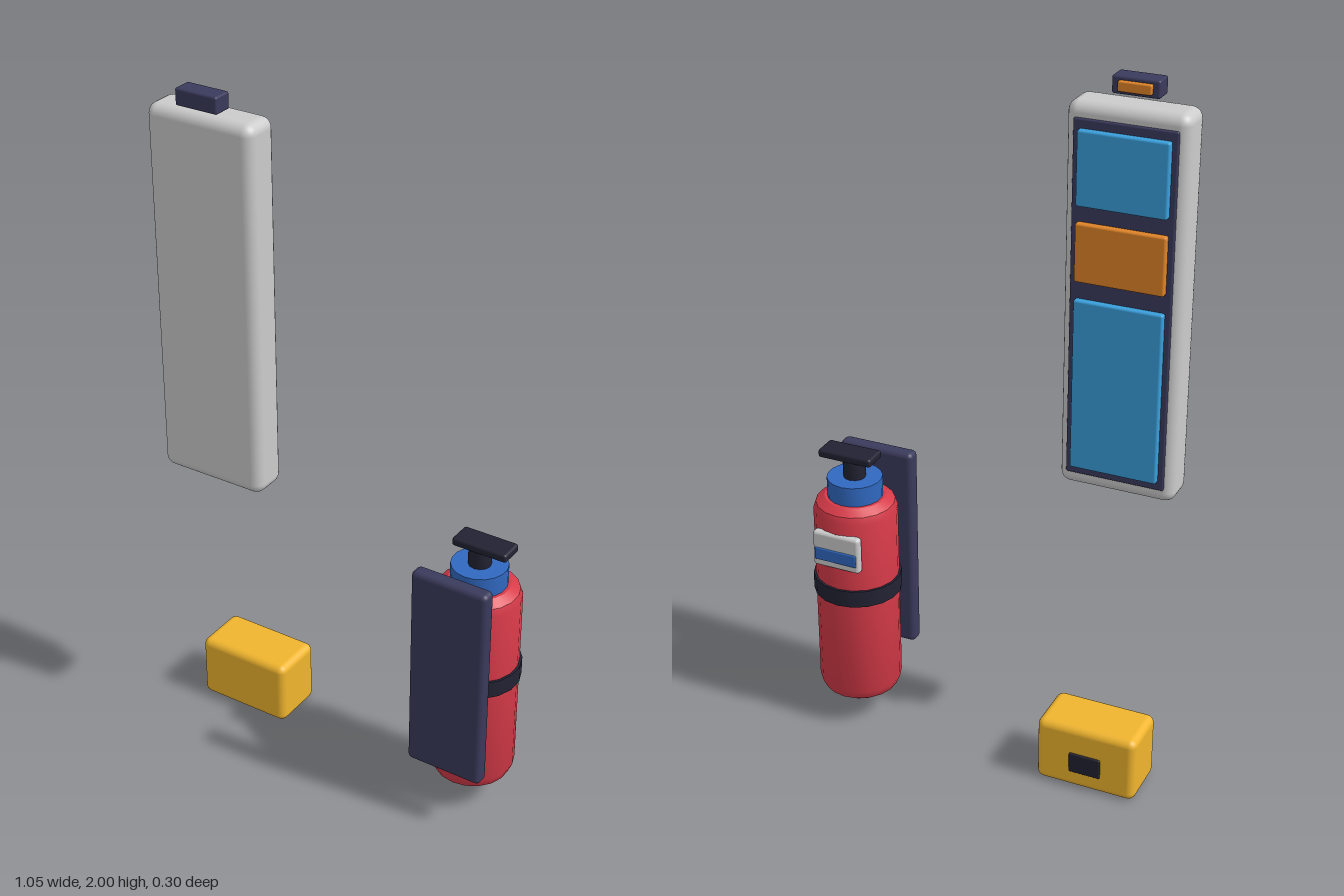
import * as THREE from 'three';
import { RoundedBoxGeometry } from 'three/addons/geometries/RoundedBoxGeometry.js';
import { toCreasedNormals } from 'three/addons/utils/BufferGeometryUtils.js';

const mat = (color) => new THREE.MeshStandardMaterial({ color });
const GREY = mat(0xcccccc), NAVY = mat(0x3a3a5c), CYAN = mat(0x3aa0dc), ORANGE = mat(0xe08428);
const YELLOW = mat(0xf0b52e), RED = mat(0xd63a48), BLUE = mat(0x3068c0), BLACK = mat(0x222233);

// Rounded box given by its min/max extents on each axis
function box(name, material, [x0, x1], [y0, y1], [z0, z1], r) {
  const geo = new RoundedBoxGeometry(x1 - x0, y1 - y0, z1 - z0, 3, r);
  const mesh = new THREE.Mesh(geo, material);
  mesh.position.set((x0 + x1) / 2, (y0 + y1) / 2, (z0 + z1) / 2);
  mesh.name = name;
  return mesh;
}

// Turned part on the bottle axis, from [radius, height] pairs
function turned(name, material, profile, sides = 18) {
  const pts = profile.map(([r, y]) => new THREE.Vector2(r, y));
  const geo = toCreasedNormals(new THREE.LatheGeometry(pts, sides), 0.6);
  const mesh = new THREE.Mesh(geo, material);
  mesh.position.set(0.4, 0, -0.022);
  mesh.name = name;
  return mesh;
}

const disc = (r, y0, y1) => [[0, y0], [r, y0], [r, y1], [0, y1]];

function createModel() {
  const model = new THREE.Group();

  // Tall wall panel with coloured inserts on its back
  const panel = new THREE.Group();
  panel.name = 'wallPanel';
  panel.add(
    box('panelBody', GREY, [-0.524, -0.196], [0.87, 1.94], [0.035, 0.148], 0.03),
    box('panelBacking', NAVY, [-0.498, -0.22], [0.91, 1.9], [0.029, 0.05], 0.005)
  );
  const inserts = [[CYAN, 1.675, 1.875], [ORANGE, 1.47, 1.63], [CYAN, 0.935, 1.42]];
  for (const [m, y0, y1] of inserts) {
    panel.add(box('panelInsert', m, [-0.482, -0.237], [y0, y1], [0.012, 0.036], 0.006));
  }

  // Small lamp floating above the panel
  const lamp = new THREE.Group();
  lamp.name = 'topLamp';
  lamp.add(
    box('lampHousing', NAVY, [-0.423, -0.295], [1.953, 2.0], [0.092, 0.148], 0.006),
    box('lampStrip', ORANGE, [-0.404, -0.314], [1.963, 1.99], [0.08, 0.098], 0.004)
  );

  // Floor case with latch
  const floorCase = new THREE.Group();
  floorCase.name = 'floorCase';
  floorCase.add(
    box('caseBody', YELLOW, [-0.507, -0.213], [0.003, 0.2], [-0.131, 0.034], 0.022),
    box('caseLatch', BLACK, [-0.407, -0.313], [0.055, 0.118], [-0.136, -0.12], 0.005)
  );

  // Bottle with collar, valve, handle, strap, label and mounting plate
  const bottle = new THREE.Group();
  bottle.name = 'bottle';
  bottle.add(
    turned('bottleBody', RED, [
      [0, 0.077], [0.08, 0.077], [0.108, 0.097], [0.12, 0.125],
      [0.12, 0.685], [0.113, 0.705], [0.088, 0.722], [0, 0.722]
    ]),
    turned('collar', BLUE, disc(0.079, 0.715, 0.78)),
    turned('valveStem', BLACK, disc(0.032, 0.775, 0.84), 12),
    turned('strap', BLACK, disc(0.127, 0.421, 0.472)),
    box('handle', BLACK, [0.332, 0.497], [0.833, 0.858], [-0.057, 0.016], 0.008),
    box('labelPlate', GREY, [0.327, 0.473], [0.54, 0.65], [-0.149, -0.122], 0.01),
    box('labelStripe', BLUE, [0.335, 0.465], [0.562, 0.6], [-0.153, -0.142], 0.003),
    box('mountingPlate', NAVY, [0.285, 0.515], [0.178, 0.808], [0.102, 0.148], 0.015)
  );

  model.add(panel, lamp, floorCase, bottle);
  return model;
}

export { createModel };
